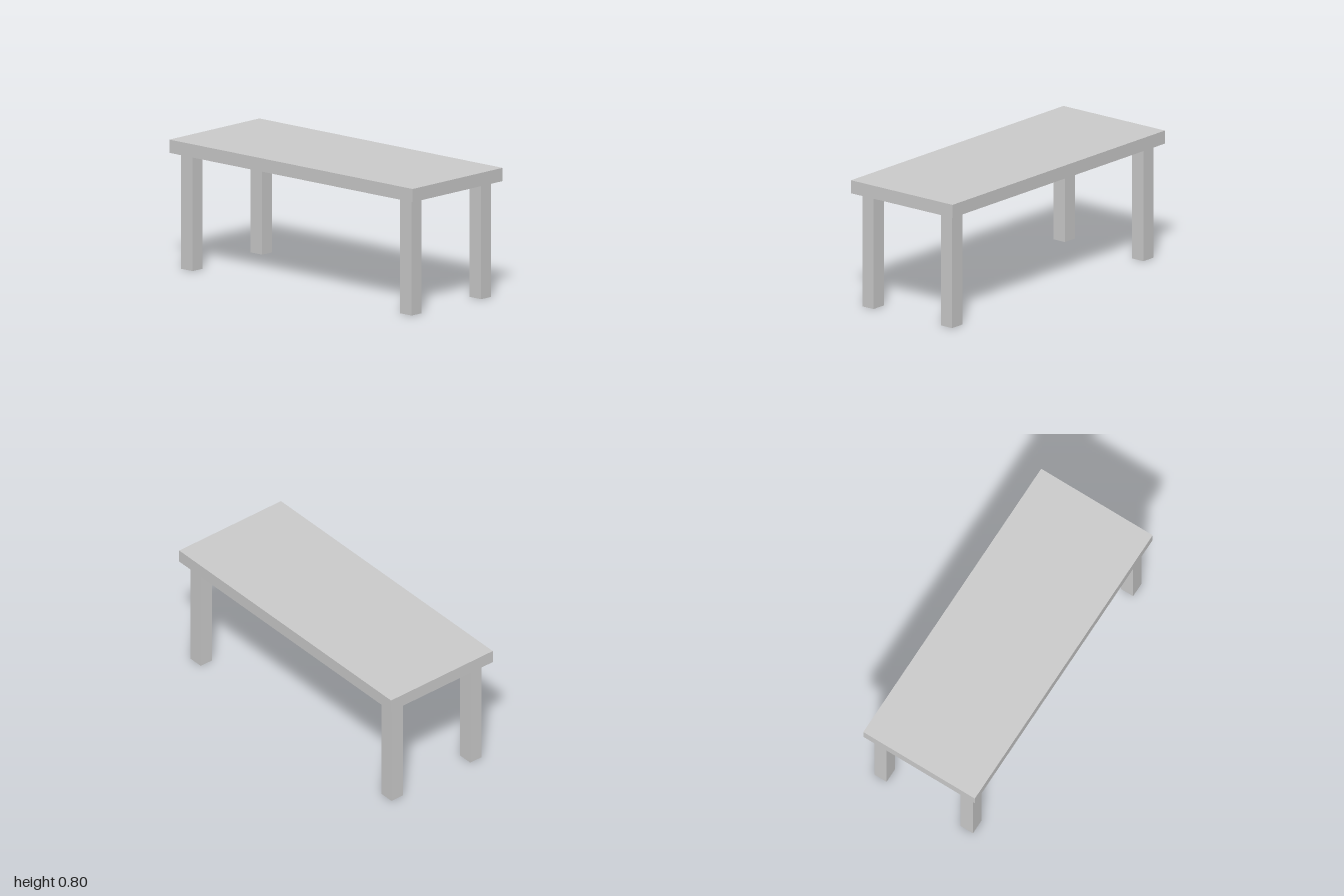
import * as THREE from 'three';

const material = new THREE.MeshStandardMaterial({ color: 0xcccccc, flatShading: true });

const TOP = 0.797, UNDERSIDE = 0.715, LEG_TOP = 0.709;
// Grid lines from the centre to the rim: middle, leg inside, leg outside, edge
const X = [0, 0.264, 0.352, 0.398];
const Z = [0, 0.852, 0.949, 1];
const SAG = [0, 1, 1, 0];

// Slab whose underside swells slightly to meet each leg
function createTop() {
  const geometry = new THREE.BoxGeometry(6, 1, 6, 6, 1, 6);
  const p = geometry.attributes.position;
  for (let i = 0; i < p.count; i++) {
    const gx = Math.round(p.getX(i)), gz = Math.round(p.getZ(i));
    const ix = Math.abs(gx), iz = Math.abs(gz);
    const bottom = UNDERSIDE - (UNDERSIDE - LEG_TOP) * SAG[ix] * SAG[iz];
    p.setXYZ(i, Math.sign(gx) * X[ix], p.getY(i) > 0 ? TOP : bottom, Math.sign(gz) * Z[iz]);
  }
  geometry.computeVertexNormals();
  const mesh = new THREE.Mesh(geometry, material);
  mesh.name = 'tableTop';
  return mesh;
}

// Square leg standing on the ground, under one corner
function createLeg(sx, sz) {
  const mesh = new THREE.Mesh(new THREE.BoxGeometry(X[2] - X[1], LEG_TOP, Z[2] - Z[1]), material);
  mesh.position.set(sx * (X[1] + X[2]) / 2, LEG_TOP / 2, sz * (Z[1] + Z[2]) / 2);
  mesh.name = (sz > 0 ? 'front' : 'back') + (sx > 0 ? 'Left' : 'Right') + 'Leg';
  return mesh;
}

export function createModel() {
  const table = new THREE.Group();
  table.name = 'table';
  table.add(createTop());
  for (const sx of [-1, 1]) for (const sz of [-1, 1]) table.add(createLeg(sx, sz));
  return table;
}
